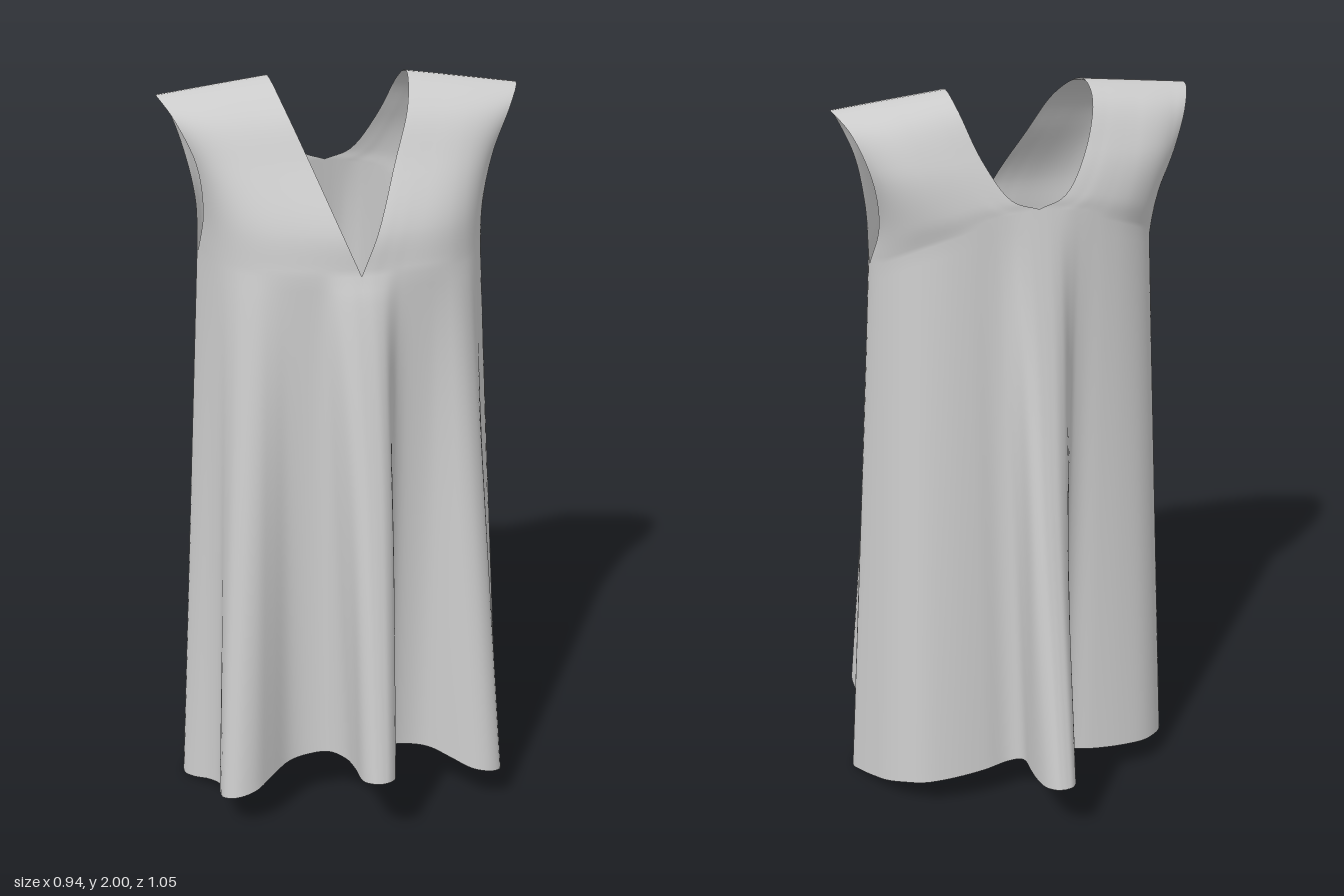
import * as THREE from 'three';
import { mergeVertices } from 'three/addons/utils/BufferGeometryUtils.js';

const { lerp, smoothstep } = THREE.MathUtils;
const curve = (pts) => new THREE.CatmullRomCurve3(pts.map((p) => new THREE.Vector3(...p)));

// Half outlines run from centre front, round the left side, to centre back.
const hemFront = [
  [0, .22, .525], [.022, .22, .52], [.044, .212, .49], [.05, .2, .41], [.056, .19, .335], [.09, .185, .285],
  [.15, .17, .266], [.2, .16, .275], [.255, .145, .32], [.305, .13, .36], [.355, .12, .368], [.39, .11, .345],
  [.395, .092, .28], [.385, .06, .2], [.41, .035, .13], [.447, .016, .08], [.47, .005, .03],
];
const hemBack = [
  [.46, .022, -.03], [.44, .045, -.1], [.417, .068, -.165], [.38, .09, -.22], [.33, .1, -.255], [.25, .11, -.272],
  [.16, .12, -.275], [.09, .13, -.27], [.057, .145, -.295], [.05, .16, -.37], [.044, .18, -.485],
  [.022, .19, -.523], [0, .19, -.528],
];
const chestFront = [
  [0, .28], [.025, .28], [.05, .278], [.075, .276], [.1, .273], [.125, .27], [.155, .265], [.185, .258], [.215, .248],
  [.245, .234], [.272, .216], [.297, .194], [.318, .168], [.337, .136], [.353, .098], [.367, .05], [.378, -.01],
].map(([x, z]) => [x, 1.555, z]);
const chestBack = [
  [.375, 1.57, -.05], [.363, 1.58, -.09], [.343, 1.6, -.13], [.317, 1.62, -.163], [.283, 1.64, -.19],
  [.238, 1.66, -.213], [.185, 1.68, -.228], [.14, 1.7, -.235], [.11, 1.71, -.238], [.082, 1.717, -.24],
  [.052, 1.723, -.24], [.026, 1.728, -.24], [0, 1.73, -.24],
];
const hem = curve([...hemFront, ...hemBack]);
const chest = curve([...chestFront, ...chestBack]);
const SIDE = (chestFront.length - 1) / (chestFront.length + chestBack.length - 1);

// Neckline and armhole run from front, over the shoulder (halfway), to the back
const neck = curve([
  [0, 1.555, .28], [.045, 1.66, .262], [.105, 1.81, .168], [.154, 1.93, .088], [.181, 2, -.05],
  [.175, 1.965, -.14], [.135, 1.855, -.2], [.07, 1.757, -.235], [0, 1.73, -.24],
]);
const armhole = curve([
  [.378, 1.555, -.01], [.368, 1.68, .055], [.385, 1.81, .08], [.435, 1.92, .05], [.47, 1.965, -.03],
  [.44, 1.925, -.115], [.4, 1.82, -.145], [.372, 1.68, -.095], [.378, 1.555, -.01],
]);

// Position on the chest line, u from the centre (0) to the side seam (1)
const ringParam = (u, back) => (back ? 1 - u * (1 - SIDE) : u * SIDE);

// Skirt: the smooth chest line opens into the folded hem
function skirt(u, v, back) {
  const a = chest.getPoint(ringParam(u, back)), b = hem.getPoint(ringParam(u, back));
  const t = 1 - v;
  // the front pleat swells out early on its way down
  const k = Math.pow(t, 1 - .25 * smoothstep(b.z, .28, .45));
  return new THREE.Vector3(lerp(a.x, b.x, t), lerp(a.y, b.y, t), lerp(a.z, b.z, k));
}

// Yoke: spans neckline to armhole, its chest roundness fading towards the shoulder
function yoke(u, v, back) {
  const along = back ? 1 - v / 2 : v / 2;
  const centre = chest.getPoint(ringParam(0, back)), seam = chest.getPoint(SIDE);
  const ring = chest.getPoint(ringParam(u, back));
  const reach = (p) => p.x + Math.abs(p.z - centre.z);
  const arc = reach(ring) / reach(seam);
  const bulge = ring.sub(centre.lerp(seam, arc));
  return neck.getPoint(along)
    .lerp(armhole.getPoint(along), lerp(arc, u, v))
    .addScaledVector(bulge, Math.pow(1 - v, 1.5));
}

// Adds a grid patch and its mirror image, with the outside facing out
function addPatch(out, fn, back, cols, rows) {
  for (const side of [1, -1]) {
    const start = out.pos.length / 3;
    for (let j = 0; j <= rows; j++) {
      for (let i = 0; i <= cols; i++) {
        const p = fn(i / cols, j / rows, back);
        // centre pleats lean slightly to the left
        const lean = Math.abs(p.x) < .2 ? .013 * smoothstep(Math.abs(p.z), .28, .42) : 0;
        out.pos.push(p.x * side + lean, p.y, p.z);
      }
    }
    for (let j = 0; j < rows; j++) {
      for (let i = 0; i < cols; i++) {
        const a = start + j * (cols + 1) + i, b = a + 1, d = a + cols + 1, c = d + 1;
        if ((side === 1) !== back) out.idx.push(a, b, c, a, c, d);
        else out.idx.push(a, c, b, a, d, c);
      }
    }
  }
}

export function createModel() {
  const out = { pos: [], idx: [] };
  for (const back of [false, true]) {
    addPatch(out, skirt, back, 60, 40);
    addPatch(out, yoke, back, 60, 24);
  }

  let geometry = new THREE.BufferGeometry();
  geometry.setAttribute('position', new THREE.Float32BufferAttribute(out.pos, 3));
  geometry.setIndex(out.idx);
  // weld the panels so the cloth shades as one piece
  geometry = mergeVertices(geometry, 1e-4);
  geometry.computeVertexNormals();

  const dress = new THREE.Mesh(geometry, new THREE.MeshStandardMaterial({ color: 0xcccccc, side: THREE.DoubleSide }));
  dress.name = 'sleevelessDress';
  const group = new THREE.Group();
  group.name = 'dress';
  group.add(dress);
  return group;
}
